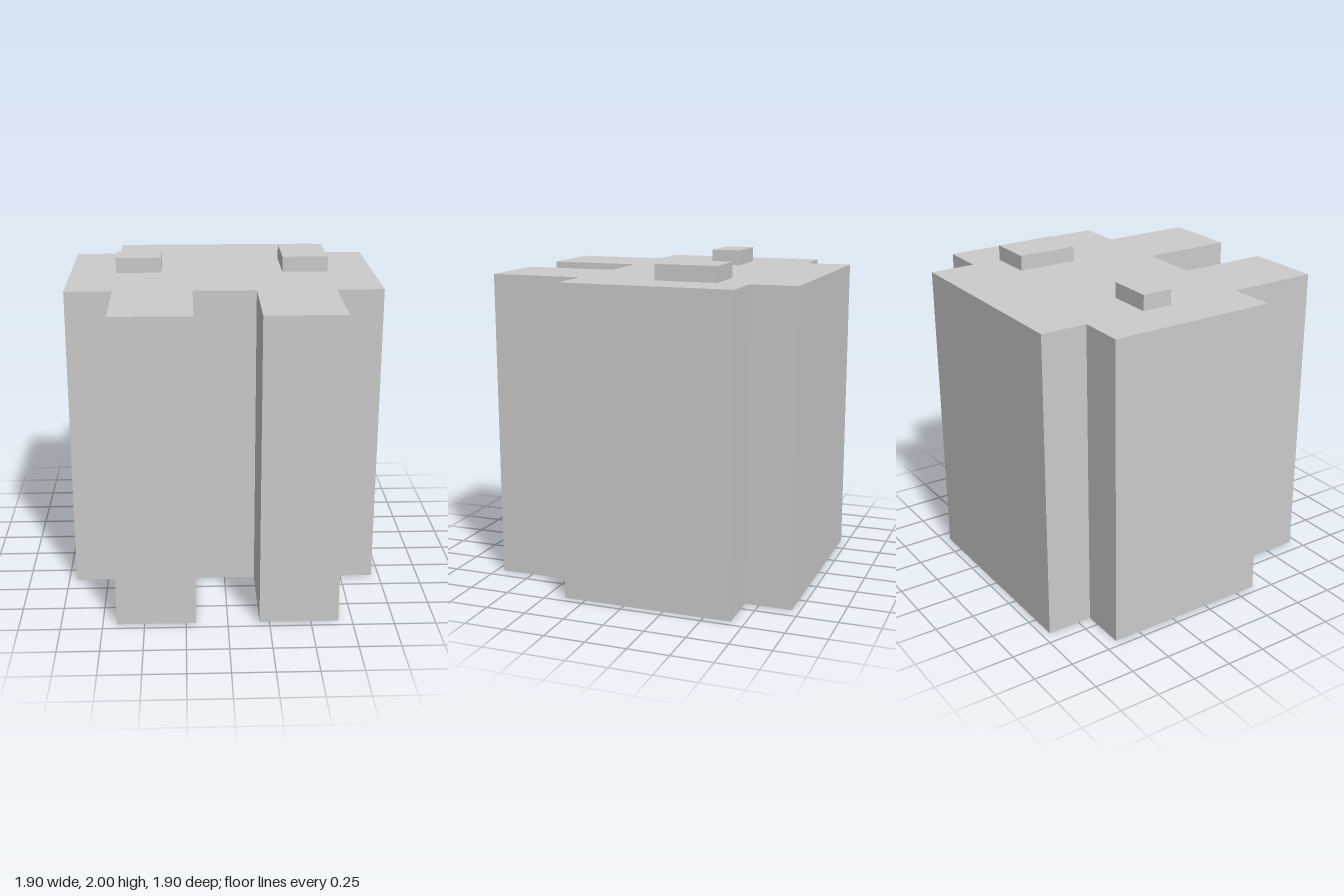
import * as THREE from 'three';

const U = 2 / 21; // grid unit: the model is 21 units tall

export function createModel() {
  const model = new THREE.Group();
  const material = new THREE.MeshStandardMaterial({ color: 0xcccccc, flatShading: true });

  // Body: stepped, symmetrical plan with a notch in the front, extruded upwards
  const half = [[2, 4], [2, 10], [7, 10], [7, 4], [10, 4], [10, -7], [7, -7], [7, -10]];
  const plan = [...half, ...half.map(([x, z]) => [-x, z]).reverse()];
  const shape = new THREE.Shape(plan.map(([x, z]) => new THREE.Vector2(x * U, -z * U)));
  const bodyGeometry = new THREE.ExtrudeGeometry(shape, { depth: 20 * U, bevelEnabled: false });
  bodyGeometry.rotateX(-Math.PI / 2);
  const body = new THREE.Mesh(bodyGeometry, material);
  body.name = 'body';
  model.add(body);

  // Raised blocks on the top, of unequal depth
  const addBlock = (name, x, z, depth) => {
    const block = new THREE.Mesh(new THREE.BoxGeometry(3 * U, U, depth * U), material);
    block.name = name;
    block.position.set(x * U, 20.5 * U, z * U);
    model.add(block);
  };
  addBlock('leftTopBlock', 5.5, -3, 4);
  addBlock('rightTopBlock', -5.5, -2, 2);

  return model;
}
